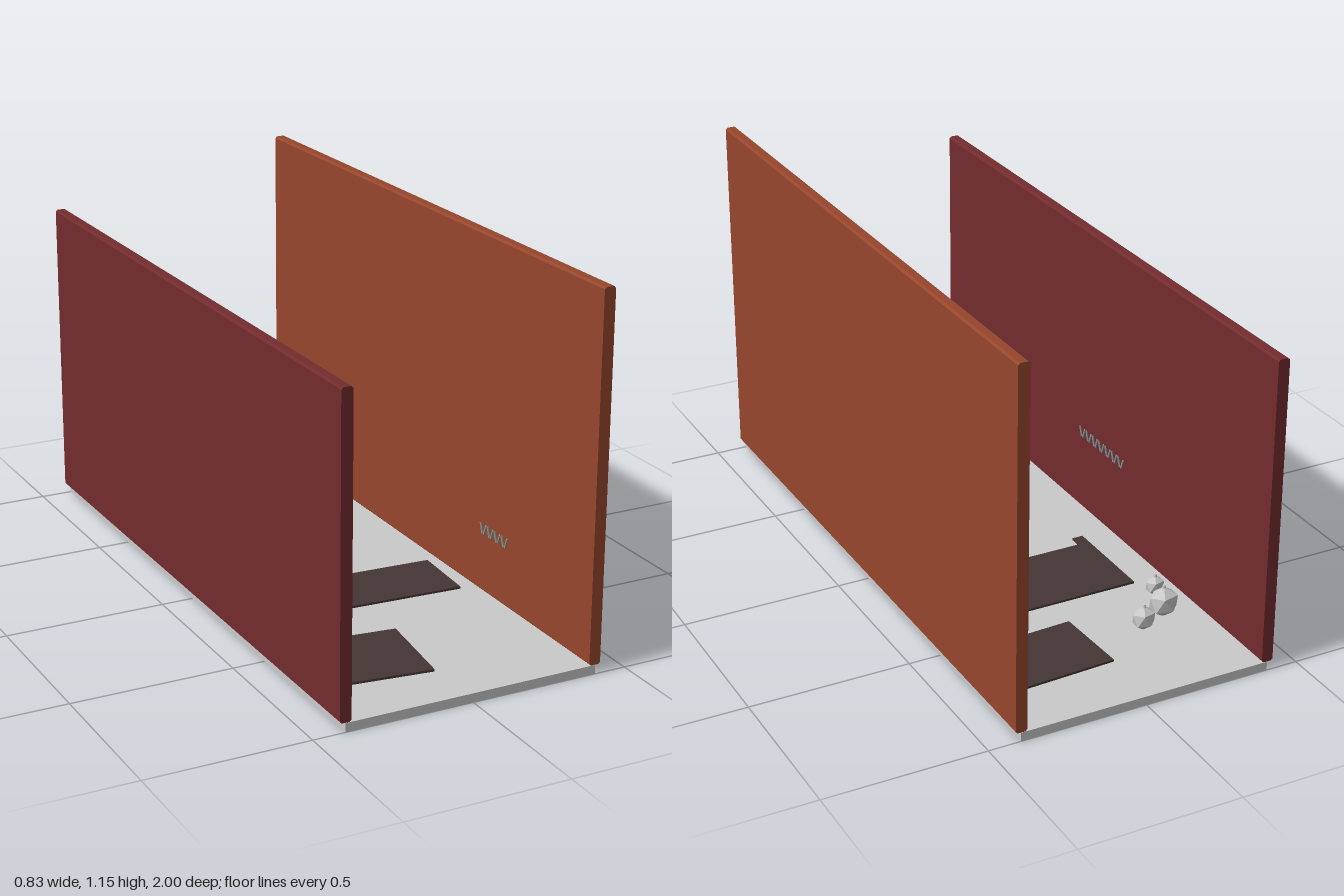
import * as THREE from 'three';

const mat = (name, color) => {
  const m = new THREE.MeshStandardMaterial({ color });
  m.name = name;
  return m;
};

export function createModel() {
  const group = new THREE.Group();
  group.name = 'alley';
  const concrete = mat('concrete', 0xcacaca);
  const orangeBrick = mat('orangeBrick', 0x96462c);
  const redBrick = mat('redBrick', 0x732c2e);
  const asphalt = mat('darkPatch', 0x463636);
  const bagGrey = mat('bagGrey', 0xcccccc);
  const paint = mat('wallPaint', 0x7f9292);

  const add = (name, geo, material, x = 0, y = 0, z = 0, parent = group) => {
    const mesh = new THREE.Mesh(geo, material);
    mesh.name = name;
    mesh.position.set(x, y, z);
    parent.add(mesh);
    return mesh;
  };
  const box = (name, material, w, h, d, x, y, z, parent) =>
    add(name, new THREE.BoxGeometry(w, h, d), material, x, y, z, parent);

  // Ground slab
  box('ground', concrete, 0.8, 0.028, 2, 0, 0.014, 0);

  // Walls: chamfered profile swept along the alley
  const wall = (name, material, x, top) => {
    const a = 0.018, c = 0.006, b = 0.029;
    const profile = new THREE.Shape([
      [-a + c, b], [a - c, b], [a, b + c], [a, top - c],
      [a - c, top], [-a + c, top], [-a, top - c], [-a, b + c],
    ].map(([px, py]) => new THREE.Vector2(px, py)));
    add(name, new THREE.ExtrudeGeometry(profile, { depth: 2, bevelEnabled: false }), material, x, 0, -1);
  };
  wall('rightWall', redBrick, -0.4, 0.987);
  wall('leftWall', orangeBrick, 0.398, 1.147);

  // Dark patches on the ground: x, z, width, depth, turn
  [
    [0.157, -0.684, 0.32, 0.245, 0.05],
    [0.145, 0.238, 0.386, 0.226, -0.055],
    [-0.176, 0.665, 0.335, 0.293, -0.12],
  ].forEach(([x, z, w, d, turn]) => {
    box('groundPatch', asphalt, w, 0.007, d, x, 0.0315, z).rotation.y = turn;
  });

  // Notched patch in the middle
  const notched = new THREE.Shape([
    [-0.285, 0.44], [-0.285, 0.12], [-0.25, 0.12], [-0.25, 0.163],
    [0.038, 0.163], [0.038, 0.12], [0.125, 0.12], [0.125, 0.44],
  ].map(([px, py]) => new THREE.Vector2(px, py)));
  const notchedGeo = new THREE.ExtrudeGeometry(notched, { depth: 0.007, bevelEnabled: false });
  notchedGeo.rotateX(-Math.PI / 2);
  add('notchedPatch', notchedGeo, asphalt, 0, 0.028, 0);

  // Faceted rubbish bags with a tied knot on top: x, y, z, radius
  [
    [-0.267, 0.076, -0.642, 0.051],
    [-0.175, 0.067, -0.684, 0.04],
    [-0.308, 0.06, -0.524, 0.033],
  ].forEach(([x, y, z, r]) => {
    const bag = new THREE.Group();
    bag.name = 'rubbishBag';
    bag.position.set(x, y, z);
    const body = new THREE.IcosahedronGeometry(r, 0);
    body.rotateZ(-Math.atan(2 / (1 + Math.sqrt(5)))); // one corner straight up
    body.scale(1, 0.98, 0.76);
    add('bagBody', body, bagGrey, 0, 0, 0, bag);
    add('bagKnot', new THREE.CylinderGeometry(0.004, 0.006, 0.01, 6), bagGrey, 0, r, 0, bag);
    group.add(bag);
  });

  // Abstract painted dashes on the inner wall faces
  const scribble = (name, x, y, z0, z1, count) => {
    const marks = new THREE.Group();
    marks.name = name;
    for (let i = 0; i < count; i++) {
      const z = z0 + ((z1 - z0) * (i + 0.5)) / count;
      const dash = box('paintDash', paint, 0.003, 0.034, 0.006, x, y, z, marks);
      dash.rotation.x = i % 2 ? 0.35 : -0.35;
    }
    group.add(marks);
  };
  scribble('rightWallPaint', -0.3805, 0.297, -0.2, 0.08, 14);
  scribble('leftWallPaint', 0.365, 0.243, 0.41, 0.57, 8);

  return group;
}
